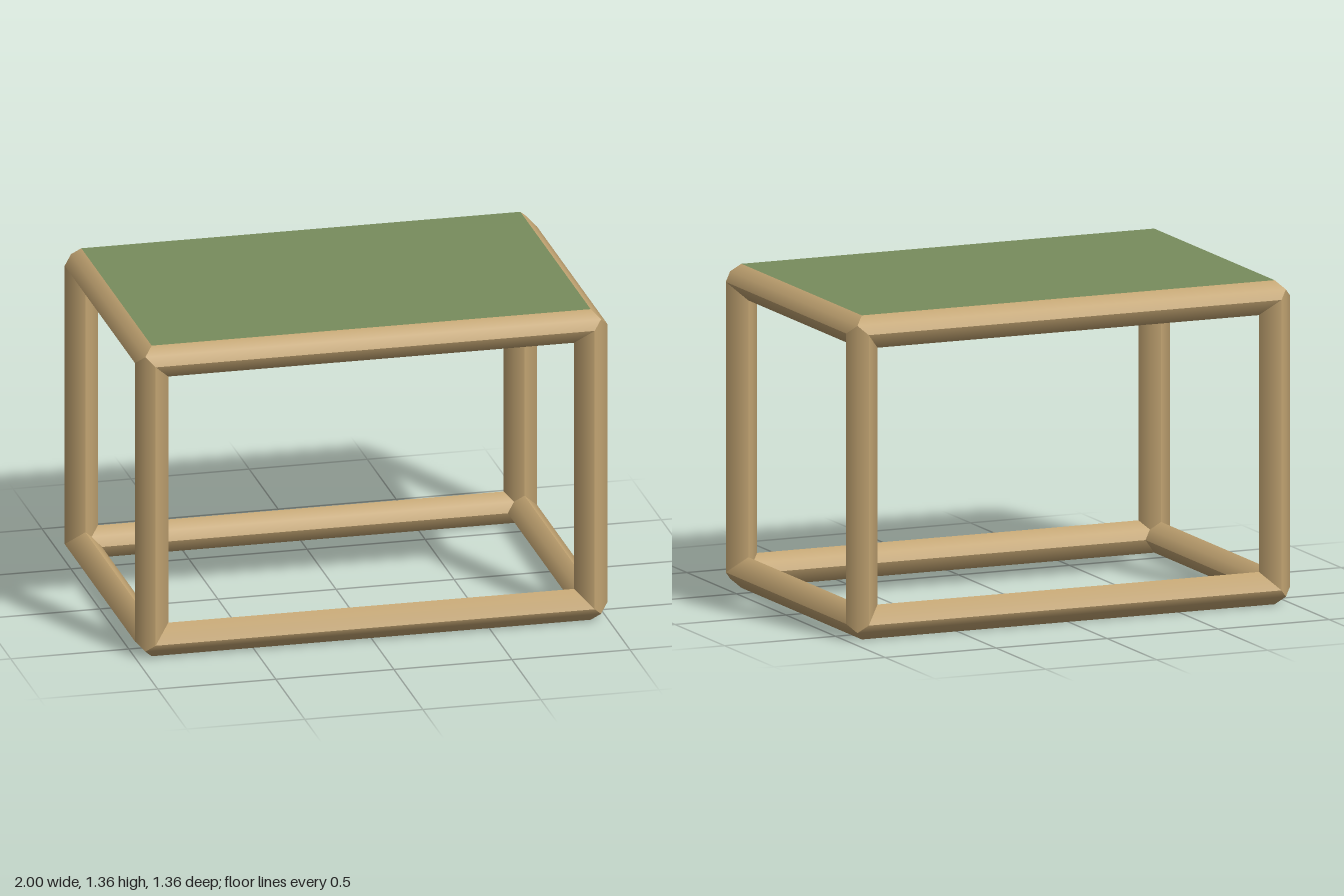
import * as THREE from 'three';

const R = 0.0705; // half-diagonal of the diamond bar section
const HALF = [1, 0.679, 0.678]; // half width, height and depth of the table
const NODE = HALF.map((h) => h - R); // bar centre lines

const wood = new THREE.MeshStandardMaterial({ color: 0xc2a472 });
const green = new THREE.MeshStandardMaterial({ color: 0x788c5d });

// Diamond section (a and b point outward); the two extra points let the mitres bend
const SECTION = [[1, 0], [0.5, 0.5], [0, 1], [-1, 0], [-0.5, -0.5], [0, -1]]
  .map(([a, b]) => new THREE.Vector2(a, b));

// Bar along one axis, moved to the (sa, sb) edge of the frame, with three-way mitred ends
function makeBar(axis, sa, sb) {
  const A = (axis + 1) % 3, B = (axis + 2) % 3;
  const place = (along, a, b) => {
    const p = [0, 0, 0];
    p[axis] = along;
    p[A] = sa * a;
    p[B] = sb * b;
    return p;
  };
  const positions = [], normals = [];
  SECTION.forEach((s, i) => {
    const n = SECTION[(i + 1) % SECTION.length];
    const face = new THREE.Vector2(n.y - s.y, s.x - n.x).normalize();
    const corner = (v, end) => {
      const along = end * (NODE[axis] + R * Math.min(v.x, v.y));
      // Softly rounded shading: halfway between the flat and the radial normal
      const soft = v.clone().normalize().add(face).normalize();
      return {
        position: place(along, NODE[A] + R * v.x, NODE[B] + R * v.y),
        normal: place(0, soft.x, soft.y),
      };
    };
    const quad = [corner(s, -1), corner(n, -1), corner(n, 1), corner(s, 1)];
    if (sa * sb < 0) quad.reverse(); // mirrored bars need the opposite corner order
    for (const k of [0, 1, 2, 0, 2, 3]) {
      positions.push(...quad[k].position);
      normals.push(...quad[k].normal);
    }
  });
  const geometry = new THREE.BufferGeometry();
  geometry.setAttribute('position', new THREE.Float32BufferAttribute(positions, 3));
  geometry.setAttribute('normal', new THREE.Float32BufferAttribute(normals, 3));
  return new THREE.Mesh(geometry, wood);
}

export function createModel() {
  const table = new THREE.Group();
  table.name = 'sideTable';

  // Twelve bars: four along each axis
  const frame = new THREE.Group();
  frame.name = 'frame';
  frame.position.y = HALF[1];
  ['longRail', 'leg', 'shortRail'].forEach((name, axis) => {
    for (const sa of [-1, 1]) for (const sb of [-1, 1]) {
      const bar = makeBar(axis, sa, sb);
      bar.name = name;
      frame.add(bar);
    }
  });
  table.add(frame);

  // Top panel set into the rails, from their upper ridges down to their centre lines
  const panel = new THREE.Mesh(new THREE.BoxGeometry(2 * NODE[0], R, 2 * NODE[2]), green);
  panel.name = 'topPanel';
  panel.position.y = 2 * HALF[1] - R / 2;
  table.add(panel);

  return table;
}
